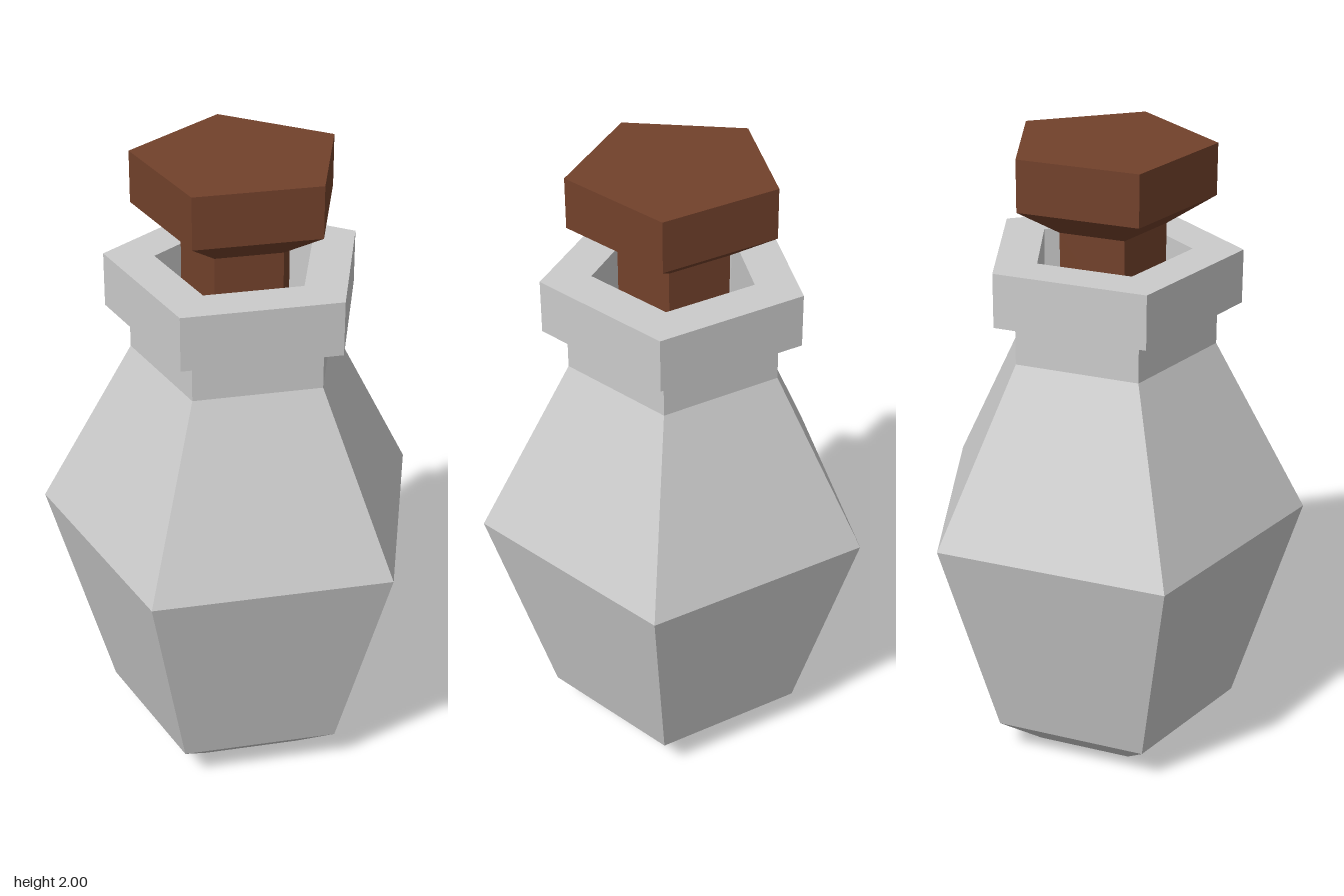
import * as THREE from 'three';

const SIDES = 5;
const AXIS_Z = 0.057; // the pentagon's axis sits forward of the bounding-box centre

// Five-sided turned part with one corner pointing to the back; profile is [radius, y] pairs
function turned(name, profile, color) {
  const points = profile.map(([r, y]) => new THREE.Vector2(r, y));
  const geometry = new THREE.LatheGeometry(points, SIDES, Math.PI);
  const material = new THREE.MeshStandardMaterial({ color, flatShading: true });
  const mesh = new THREE.Mesh(geometry, material);
  mesh.name = name;
  mesh.position.z = AXIS_Z;
  return mesh;
}

export function createModel() {
  const group = new THREE.Group();
  group.name = 'bottle';

  // Bottle: base, belly, neck, collar and recessed mouth
  group.add(turned('bottleBody', [
    [0, 0], [0.258, 0], [0.415, 0.115], [0.622, 0.81],
    [0.331, 1.365], [0.331, 1.5],
    [0.405, 1.5], [0.405, 1.67],
    [0.252, 1.67], [0.252, 1.45], [0, 1.45],
  ], 0xcccccc));

  // Stopper: stem reaching into the mouth, flared underside and cap
  group.add(turned('stopper', [
    [0, 1.46], [0.173, 1.46], [0.173, 1.75],
    [0.32, 1.84], [0.32, 2], [0, 2],
  ], 0x72412b));

  return group;
}
